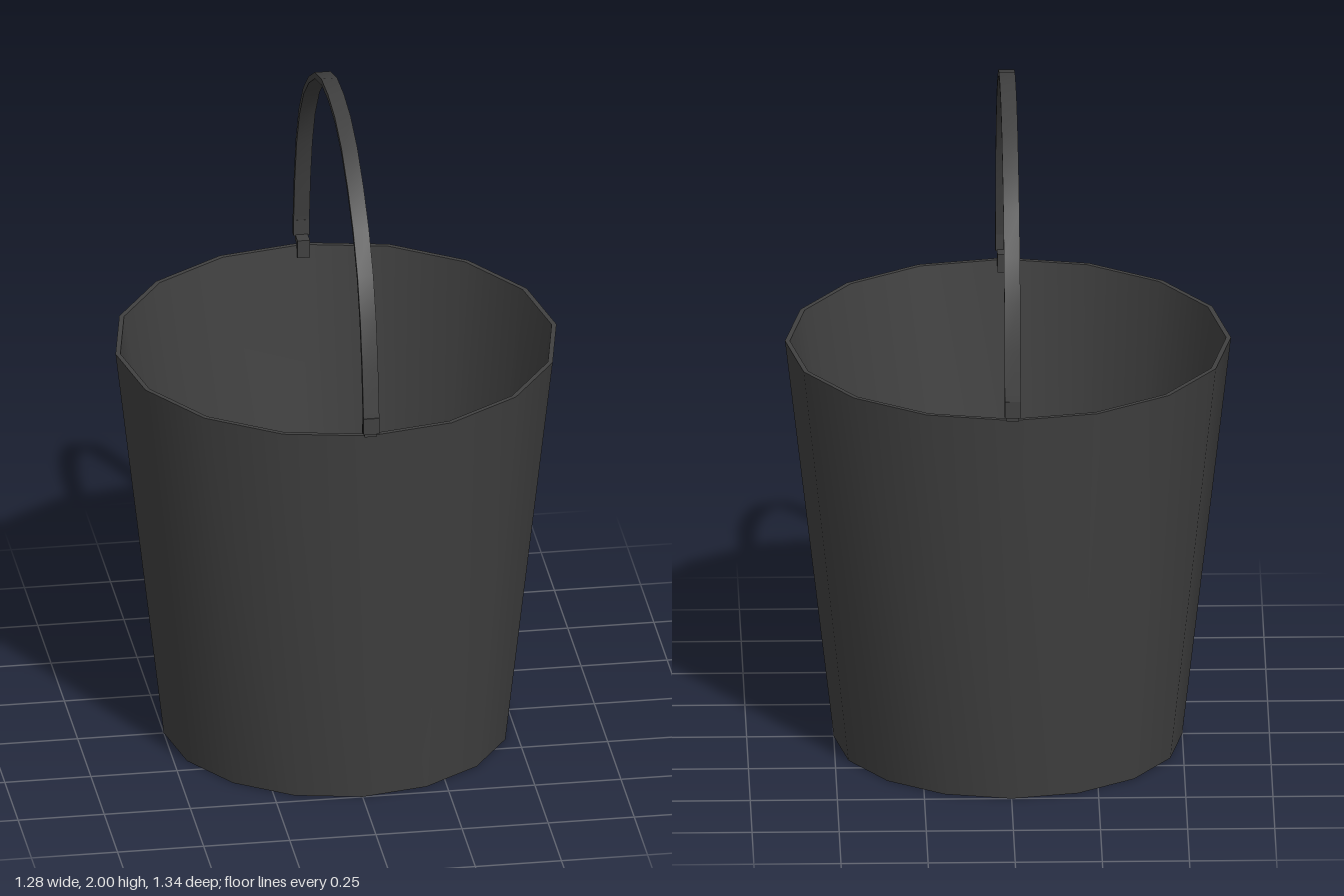
import * as THREE from 'three';
import { toCreasedNormals } from 'three/addons/utils/BufferGeometryUtils.js';

export function createModel() {
  const model = new THREE.Group();
  model.name = 'bucket';
  const material = new THREE.MeshStandardMaterial({ color: 0x404040 });

  const add = (name, geometry, parent = model) => {
    const mesh = new THREE.Mesh(geometry, material);
    mesh.name = name;
    parent.add(mesh);
    return mesh;
  };

  // Tapered 16-sided pail: underside, outer wall, rim, inner wall, inner floor
  const profile = [[0, 0], [0.5, 0], [0.64, 1.22], [0.626, 1.22], [0.456, 0.04], [0, 0.04]]
    .map(([r, y]) => new THREE.Vector2(r, y));
  add('pail', toCreasedNormals(new THREE.LatheGeometry(profile, 16), 0.6));

  // Handle: a flat band following an arch in the z-y plane
  const half = [[0.658, 1.28], [0.635, 1.43], [0.6, 1.565], [0.547, 1.683], [0.465, 1.79],
    [0.366, 1.873], [0.25, 1.943], [0.126, 1.982]];
  const path = [...half, [0, 1.992], ...half.map(([z, y]) => [-z, y]).reverse()]
    .map(([z, y]) => new THREE.Vector2(z, y));
  const offset = (distance) => path.map((p, i) => {
    const before = path[Math.max(i - 1, 0)];
    const after = path[Math.min(i + 1, path.length - 1)];
    const t = after.clone().sub(before).normalize();
    return new THREE.Vector2(p.x + t.y * distance, p.y - t.x * distance);
  });
  const band = new THREE.Shape([...offset(0.009), ...offset(-0.009).reverse()]);
  const width = 0.046;
  const handle = new THREE.ExtrudeGeometry(band, { depth: width, bevelEnabled: false });
  handle.translate(0, 0, -width / 2);
  handle.rotateY(-Math.PI / 2);
  add('handle', toCreasedNormals(handle, 0.6));

  // Handle end, bridge over the rim and tab inside the wall, on both sides
  for (const side of [1, -1]) {
    const hook = new THREE.Group();
    hook.name = side > 0 ? 'frontHook' : 'backHook';
    const block = (name, w, h, d, y, z) =>
      add(name, new THREE.BoxGeometry(w, h, d), hook).position.set(0, y, side * z);
    block('handleEnd', 0.046, 0.05, 0.022, 1.263, 0.658);
    block('rimBridge', 0.036, 0.018, 0.05, 1.233, 0.631);
    block('innerTab', 0.036, 0.05, 0.016, 1.212, 0.614);
    model.add(hook);
  }
  return model;
}
